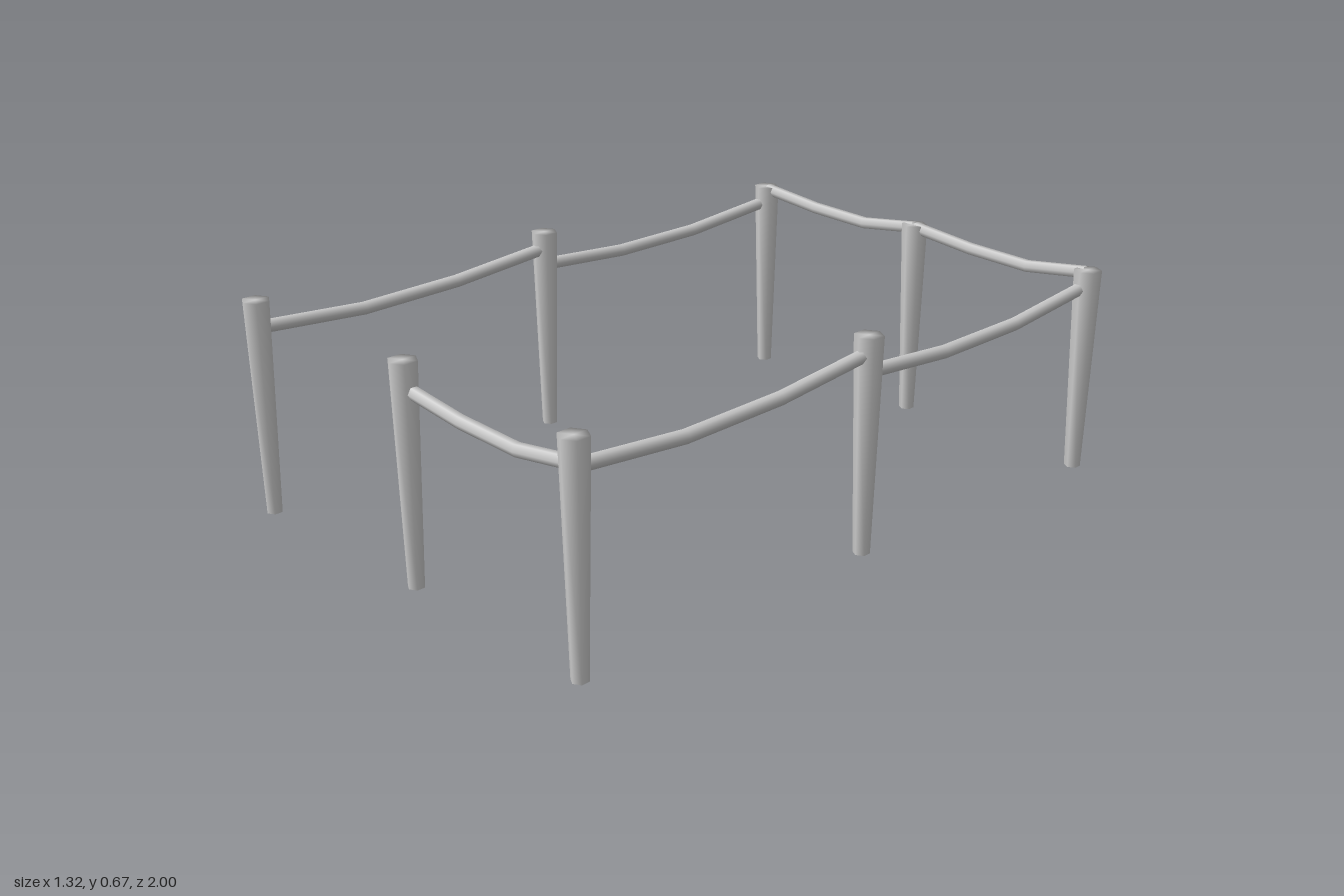
import * as THREE from 'three';

const stone = new THREE.MeshStandardMaterial({ color: 0xcccccc });
stone.name = 'paleGrey';

// Tapered six-sided post, flat on top and open underneath
function makePost(name, x, base, z) {
  const profile = [[0.023, 0], [0.039, 0.6], [0, 0.6]].map(p => new THREE.Vector2(...p));
  const post = new THREE.Mesh(new THREE.LatheGeometry(profile, 6), stone);
  post.name = name;
  post.position.set(x, base, z);
  return post;
}

// Sagging rail made of three straight lengths
function makeRail(name, points) {
  const path = new THREE.CatmullRomCurve3(points.map(p => new THREE.Vector3(...p)));
  const rail = new THREE.Mesh(new THREE.TubeGeometry(path, 3, 0.018, 6), stone);
  rail.name = name;
  return rail;
}

export function createModel() {
  const group = new THREE.Group();
  group.name = 'postAndRailFence';

  // Posts step down from front to back
  const posts = [
    ['frontRightPost', -0.624, 0.065, 0.957], ['frontMiddlePost', -0.005, 0.065, 0.947],
    ['frontLeftPost', 0.618, 0.065, 0.957],
    ['middleRightPost', -0.622, 0.044, -0.012], ['middleLeftPost', 0.618, 0.044, -0.012],
    ['backRightPost', -0.622, 0, -0.961], ['backMiddlePost', -0.005, 0, -0.961],
    ['backLeftPost', 0.624, 0, -0.955],
  ];
  posts.forEach(p => group.add(makePost(...p)));

  // Cross rails along x; the front opening stays free on one side
  const across = (name, x0, x1, z, bow) => makeRail(name, [
    [x0, 0.59, z],
    [x0 + (x1 - x0) * 0.35, 0.566, z - bow],
    [x0 + (x1 - x0) * 0.64, 0.559, z - bow],
    [x1, 0.59, z],
  ]);
  group.add(across('frontRail', 0, 0.61, 0.943, 0));
  group.add(across('backRightRail', -0.615, -0.005, -0.961, 0.006));
  group.add(across('backLeftRail', 0, 0.615, -0.961, 0.006));

  // Side rails along z, the back pair hung lower
  for (const [side, x, bow] of [['Right', -0.62, 0], ['Left', 0.618, 0.006]]) {
    group.add(makeRail(`front${side}SideRail`, [
      [x, 0.59, 0.945], [x + bow, 0.563, 0.6], [x + bow, 0.569, 0.31], [x, 0.594, 0],
    ]));
    group.add(makeRail(`back${side}SideRail`, [
      [x, 0.546, -0.01], [x + bow, 0.521, -0.34], [x + bow, 0.522, -0.61], [x, 0.547, -0.92],
    ]));
  }
  return group;
}
